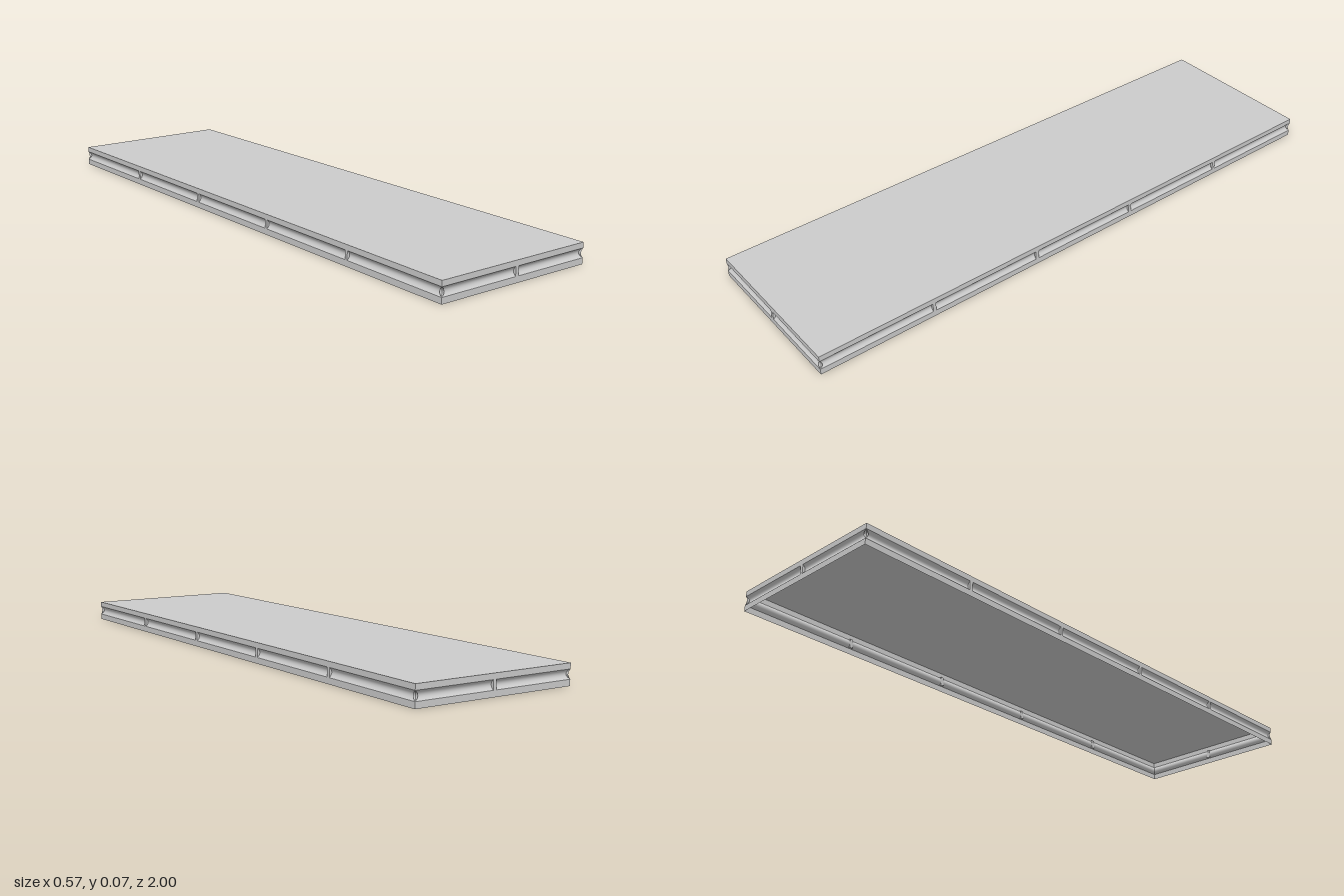
import * as THREE from 'three';

const W = 0.566, L = 2, H = 0.068; // overall size
const Y0 = 0.02, Y1 = 0.05;        // lower and upper edge of the groove
const DEPTH = 0.009, RIB = 0.011;

export function createModel() {
  const model = new THREE.Group();
  const mat = new THREE.MeshStandardMaterial({ color: 0xcccccc, side: THREE.DoubleSide });

  const add = (parent, name, geo, x, y, z) => {
    const mesh = new THREE.Mesh(geo, mat);
    mesh.name = name;
    mesh.position.set(x, y, z);
    parent.add(mesh);
    return mesh;
  };

  // Deck sheet, open underneath
  add(model, 'deckPanel', new THREE.PlaneGeometry(W, L).rotateX(-Math.PI / 2), 0, H, 0);

  // Shallow rounded channel, hollowed inwards
  const channel = (len) => {
    const geo = new THREE.PlaneGeometry(len, Y1 - Y0, 1, 10);
    const p = geo.attributes.position, half = (Y1 - Y0) / 2;
    for (let i = 0; i < p.count; i++) p.setZ(i, -DEPTH * (1 - (p.getY(i) / half) ** 2));
    geo.computeVertexNormals();
    return geo;
  };

  // One side rail: lower band, grooved middle, upper band and ribs across the groove
  const rail = (name, len, dist, angle, ribs) => {
    const g = new THREE.Group();
    g.name = name;
    add(g, 'lowerBand', new THREE.PlaneGeometry(len, Y0), 0, Y0 / 2, dist);
    add(g, 'upperBand', new THREE.PlaneGeometry(len, H - Y1), 0, (H + Y1) / 2, dist);
    add(g, 'groove', channel(len), 0, (Y0 + Y1) / 2, dist);
    for (const x of ribs) {
      add(g, 'rib', new THREE.BoxGeometry(RIB, Y1 - Y0, DEPTH), x, (Y0 + Y1) / 2, dist - DEPTH / 2);
    }
    g.rotation.y = angle;
    model.add(g);
  };

  const longRibs = [-0.6, -0.2, 0.2, 0.6];
  rail('frontRail', W, L / 2, 0, [RIB / 2]);
  rail('backRail', W, L / 2, Math.PI, [-RIB / 2]);
  rail('leftRail', L, W / 2, Math.PI / 2, longRibs);
  rail('rightRail', L, W / 2, -Math.PI / 2, longRibs);

  return model;
}
